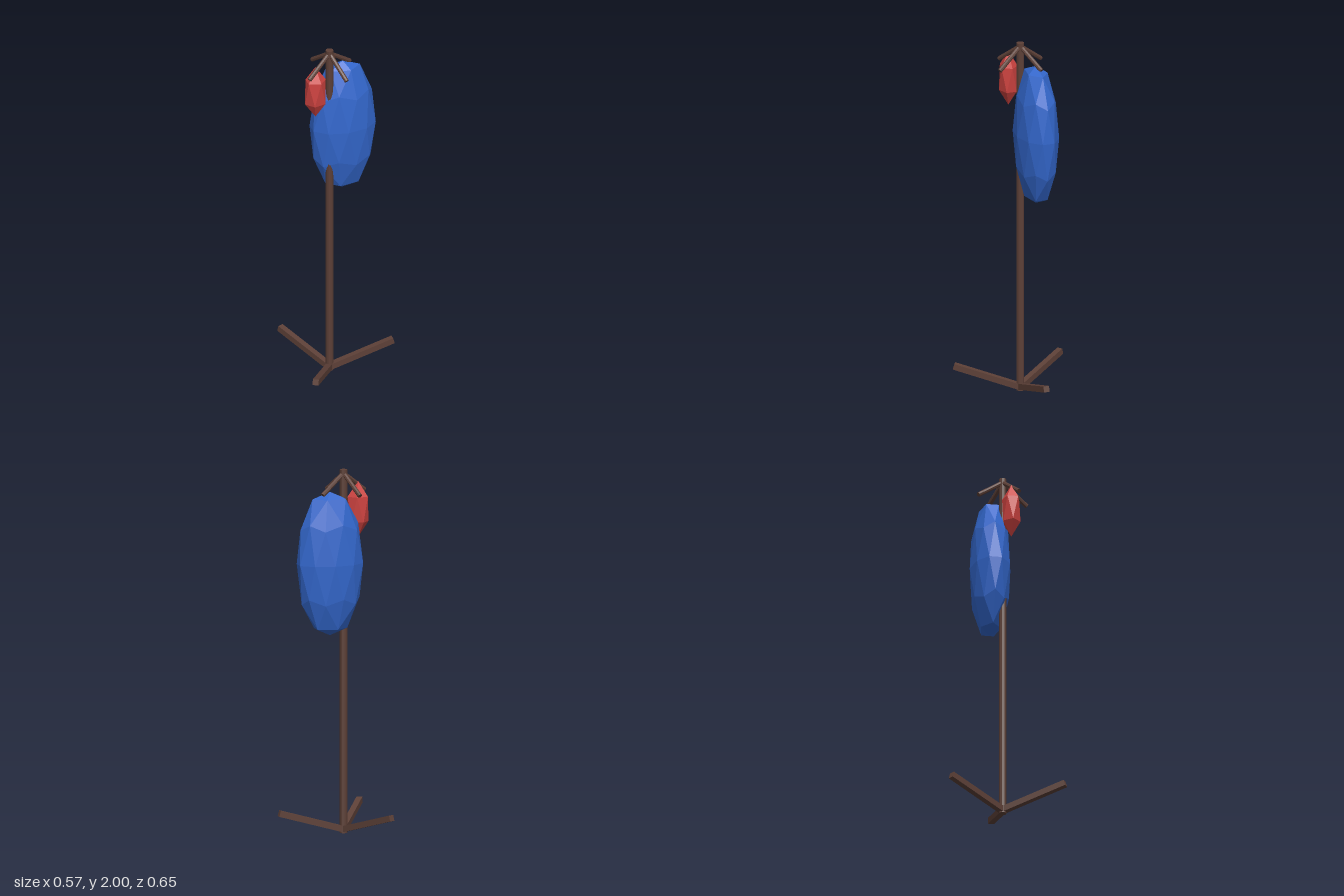
import * as THREE from 'three';

const mat = (name, color) => {
  const m = new THREE.MeshStandardMaterial({ color });
  m.name = name;
  m.flatShading = true;
  return m;
};

const POLE_X = -0.086;

// Icosphere turned so that a vertex points straight up
function uprightIcosphere(detail, rx, ry, rz, capHeight = 1) {
  const geo = new THREE.IcosahedronGeometry(1, detail);
  geo.rotateX(-Math.atan((1 + Math.sqrt(5)) / 2));
  geo.rotateY(Math.PI / 2);
  const p = geo.attributes.position;
  for (let i = 0; i < p.count; i++) {
    if (Math.abs(p.getY(i)) > 0.95) p.setY(i, Math.sign(p.getY(i)) * capHeight);
  }
  geo.scale(rx, ry, rz);
  geo.computeVertexNormals();
  return geo;
}

export function createModel() {
  const wood = mat('brown wood', 0x5d4037);
  const blue = mat('blue cloth', 0x3367cc);
  const red = mat('red cloth', 0xcc423f);
  const model = new THREE.Group();
  model.name = 'coatStand';

  const add = (name, geo, material, parent = model) => {
    const mesh = new THREE.Mesh(geo, material);
    mesh.name = name;
    parent.add(mesh);
    return mesh;
  };

  // Upright pole
  add('pole', new THREE.CylinderGeometry(0.021, 0.021, 2, 10), wood).position.set(POLE_X, 1, 0);

  // Three square legs, rising outward
  const legLength = 0.377;
  for (let i = 0; i < 3; i++) {
    const geo = new THREE.BoxGeometry(legLength, 0.033, 0.033);
    geo.translate(legLength / 2, 0, 0);
    geo.rotateZ(THREE.MathUtils.degToRad(15.8));
    const leg = add('leg', geo, wood);
    leg.position.set(POLE_X, 0.02, 0);
    leg.rotation.y = (i * Math.PI * 2) / 3;
  }

  // Four round hooks, sloping down from the top
  const hookLength = 0.185;
  for (const angle of [26, 110, 206, 290]) {
    const geo = new THREE.CylinderGeometry(0.0125, 0.0125, hookLength, 8);
    geo.rotateZ(Math.PI / 2);
    geo.translate(hookLength / 2, 0, 0);
    geo.rotateZ(THREE.MathUtils.degToRad(-35));
    const hook = add('hook', geo, wood);
    hook.position.set(POLE_X, 1.98, 0);
    hook.rotation.y = THREE.MathUtils.degToRad(angle);
  }

  // Hanging coat and hat
  add('coat', uprightIcosphere(1, 0.187, 0.42, 0.112, 0.94), blue).position.set(0.006, 1.495, -0.053);
  add('hat', uprightIcosphere(0, 0.066, 0.155, 0.056), red).position.set(-0.177, 1.773, 0.032);

  return model;
}
